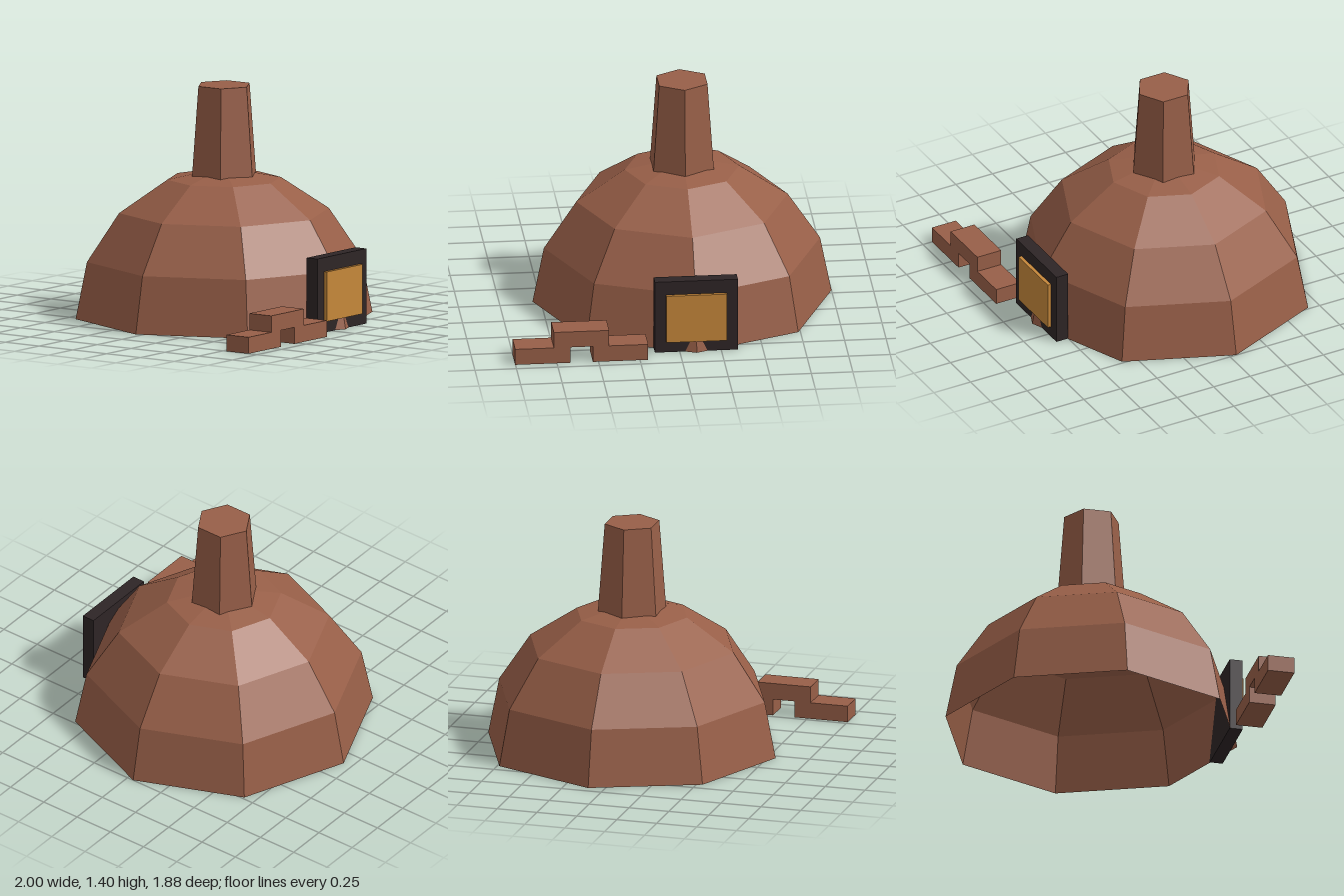
import * as THREE from 'three';

export function createModel() {
  const model = new THREE.Group();
  model.name = 'domeOven';

  const clay = new THREE.MeshStandardMaterial({ color: 0x985f48, flatShading: true, side: THREE.DoubleSide });
  clay.name = 'clay';
  const iron = new THREE.MeshStandardMaterial({ color: 0x2e2526, flatShading: true });
  iron.name = 'dark iron';
  const amber = new THREE.MeshStandardMaterial({ color: 0xc5873a, flatShading: true });
  amber.name = 'amber';

  const add = (name, geometry, material, x, y, z) => {
    const mesh = new THREE.Mesh(geometry, material);
    mesh.name = name;
    mesh.position.set(x, y, z);
    model.add(mesh);
    return mesh;
  };

  const cx = 0.1, cz = -0.042; // axis of the dome and chimney

  // Hollow eight-sided dome, open underneath
  add('dome', new THREE.SphereGeometry(0.9, 8, 4, 0, Math.PI * 2, 0, Math.PI / 2), clay, cx, 0, cz);

  // Tapered six-sided chimney, its foot sunk into the dome
  add('chimney', new THREE.CylinderGeometry(0.168, 0.214, 0.6, 6), clay, cx, 1.1, cz);

  // Door frame and glowing door panel
  add('doorFrame', new THREE.BoxGeometry(0.5, 0.455, 0.08), iron, cx, 0.2275, 0.79);
  add('doorPanel', new THREE.BoxGeometry(0.365, 0.3, 0.05), amber, cx, 0.22, 0.827);

  // Stepped bricks: two on the ground with a third bridging them
  [[-0.835, 0.05], [-0.6025, 0.15], [-0.3675, 0.05]].forEach(([x, y], i) => {
    add('brick' + (i + 1), new THREE.BoxGeometry(0.333, 0.1, 0.163), clay, x, y, 0.857);
  });

  return model;
}
